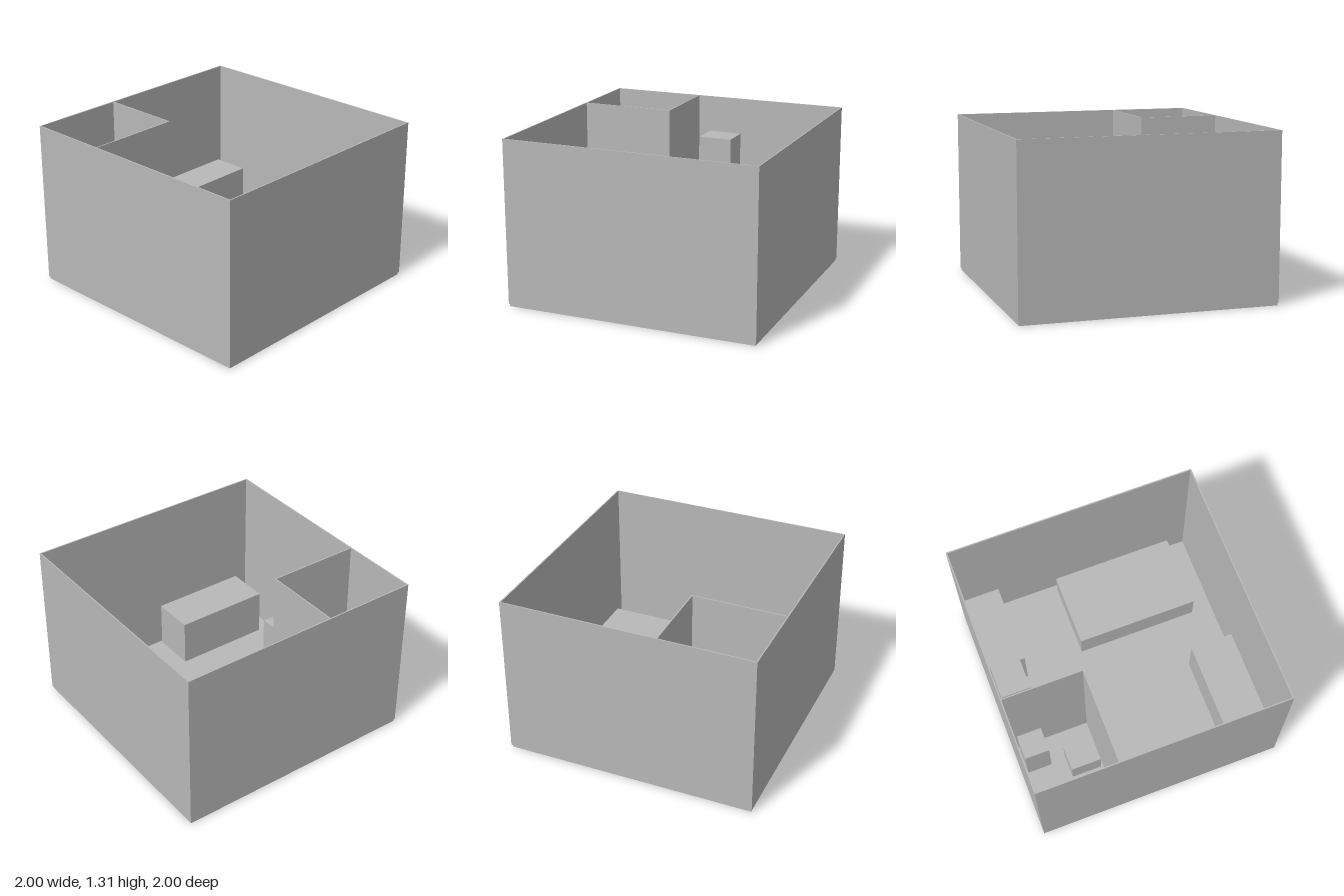
import * as THREE from 'three';

export function createModel() {
  const group = new THREE.Group();
  group.name = 'furnishedRoom';
  const grey = new THREE.MeshStandardMaterial({ color: 0xb8b8b8 });
  grey.name = 'plain grey';

  const FLOOR = 0.02, TOP = 1.315, T = 0.01;

  // Box given by its extents on each axis
  function block(name, x0, x1, y0, y1, z0, z1) {
    const mesh = new THREE.Mesh(new THREE.BoxGeometry(x1 - x0, y1 - y0, z1 - z0), grey);
    mesh.position.set((x0 + x1) / 2, (y0 + y1) / 2, (z0 + z1) / 2);
    mesh.name = name;
    group.add(mesh);
  }

  // Floor slab, slightly inside the outer wall faces
  block('floor', -0.993, 0.993, 0, FLOOR, -0.993, 0.993);

  // Outer walls, open at the top
  const wall = (name, x0, x1, z0, z1) => block(name, x0, x1, FLOOR, TOP, z0, z1);
  wall('frontWall', -1, 1, 1 - T, 1);
  wall('backWall', -1, 1, -1, -1 + T);
  wall('rightWall', -1, -1 + T, -1 + T, 1 - T);
  wall('leftWall', 1 - T, 1, -1 + T, 1 - T);

  // Partitions of the small bathroom in the back corner
  wall('bathroomFrontWall', -1 + T, -0.245, -0.36, -0.35);
  wall('bathroomSideWall', -0.255, -0.245, -1 + T, -0.36);

  // Furniture as plain blocks: name, x range, z range, height above the floor
  const furniture = [
    ['shower', -0.945, -0.595, -0.985, -0.64, 0.08],
    ['washbasin', -0.485, -0.29, -0.95, -0.75, 0.42],
    ['toilet', -0.645, -0.445, -0.625, -0.38, 0.22],
    ['fridge', -0.14, 0.135, -0.975, -0.745, 1.0],
    ['kitchenCounter', 0.3, 0.945, -0.975, -0.675, 0.44],
    ['desk', -0.97, -0.665, -0.3, 0.295, 0.37],
    ['bed', 0.345, 0.945, -0.18, 0.82, 0.24],
    ['sofa', -0.87, -0.08, 0.62, 0.97, 0.38],
  ];
  for (const [name, x0, x1, z0, z1, h] of furniture) {
    block(name, x0, x1, FLOOR, FLOOR + h, z0, z1);
  }

  return group;
}
